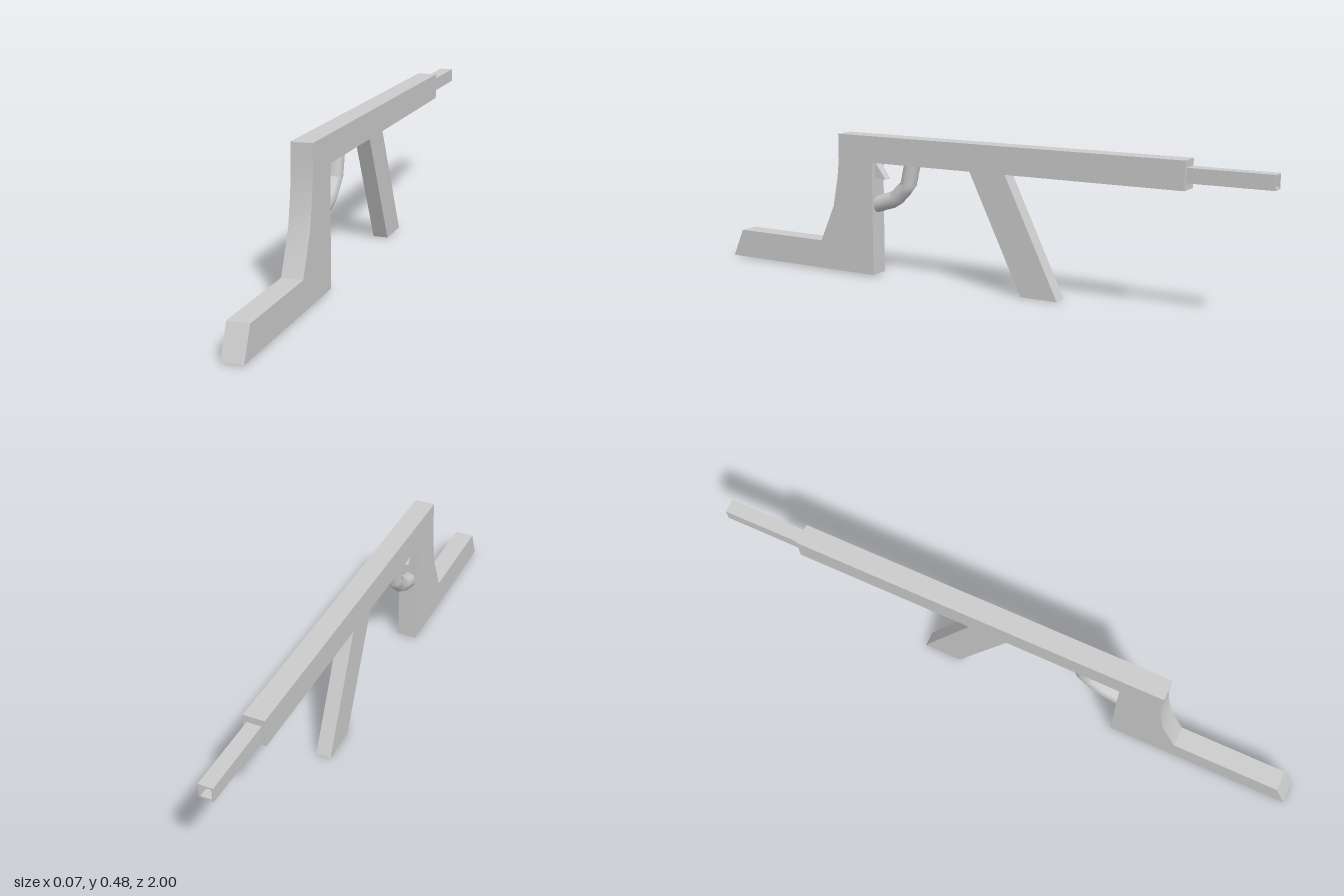
import * as THREE from 'three';
import { toCreasedNormals } from 'three/addons/utils/BufferGeometryUtils.js';

const material = new THREE.MeshStandardMaterial({ color: 0xcccccc });

export function createModel() {
  const group = new THREE.Group();

  const add = (name, geometry) => {
    const mesh = new THREE.Mesh(geometry, material);
    mesh.name = name;
    group.add(mesh);
    return mesh;
  };

  // Side profile of [z, y] points, extruded across x and centred
  const plate = (name, points, width) => {
    const shape = new THREE.Shape(points.map(([z, y]) => new THREE.Vector2(z, y)));
    const geometry = new THREE.ExtrudeGeometry(shape, { depth: width, bevelEnabled: false });
    geometry.translate(0, 0, -width / 2).rotateY(-Math.PI / 2);
    return add(name, toCreasedNormals(geometry, 0.5));
  };

  // Receiver and stock share one continuous outline
  plate('receiverAndStock', [
    [0.515, 0.482], [-0.735, 0.482], [-0.735, 0.392], [0.377, 0.392], [0.377, 0.004],
    [1, 0.004], [0.957, 0.102], [0.597, 0.102], [0.541, 0.23], [0.522, 0.33], [0.515, 0.392],
  ], 0.068);

  // Slanted magazine, slightly narrower than the receiver
  plate('magazine', [[0.012, 0.415], [-0.118, 0.415], [-0.32, 0], [-0.19, 0]], 0.05);

  // Trigger
  plate('trigger', [[0.385, 0.395], [0.375, 0.39], [0.335, 0.335], [0.385, 0.335]], 0.03);

  // Trigger guard: a faceted bent bar
  const guardPath = new THREE.CurvePath();
  const bends = [[0.4, 0.24], [0.305, 0.27], [0.252, 0.322], [0.232, 0.41]]
    .map(([z, y]) => new THREE.Vector3(0, y, z));
  for (let i = 1; i < bends.length; i++) {
    guardPath.add(new THREE.LineCurve3(bends[i - 1], bends[i]));
  }
  add('triggerGuard', new THREE.TubeGeometry(guardPath, 12, 0.028, 8));

  // Square hollow barrel
  const square = (Type, r) => new Type([[-r, -r], [r, -r], [r, r], [-r, r]]
    .map(([x, y]) => new THREE.Vector2(x, y)));
  const section = square(THREE.Shape, 0.023);
  section.holes.push(square(THREE.Path, 0.017));
  const barrel = add('barrel', new THREE.ExtrudeGeometry(section, { depth: 0.275, bevelEnabled: false }));
  barrel.position.set(0, 0.437, -1);

  return group;
}
